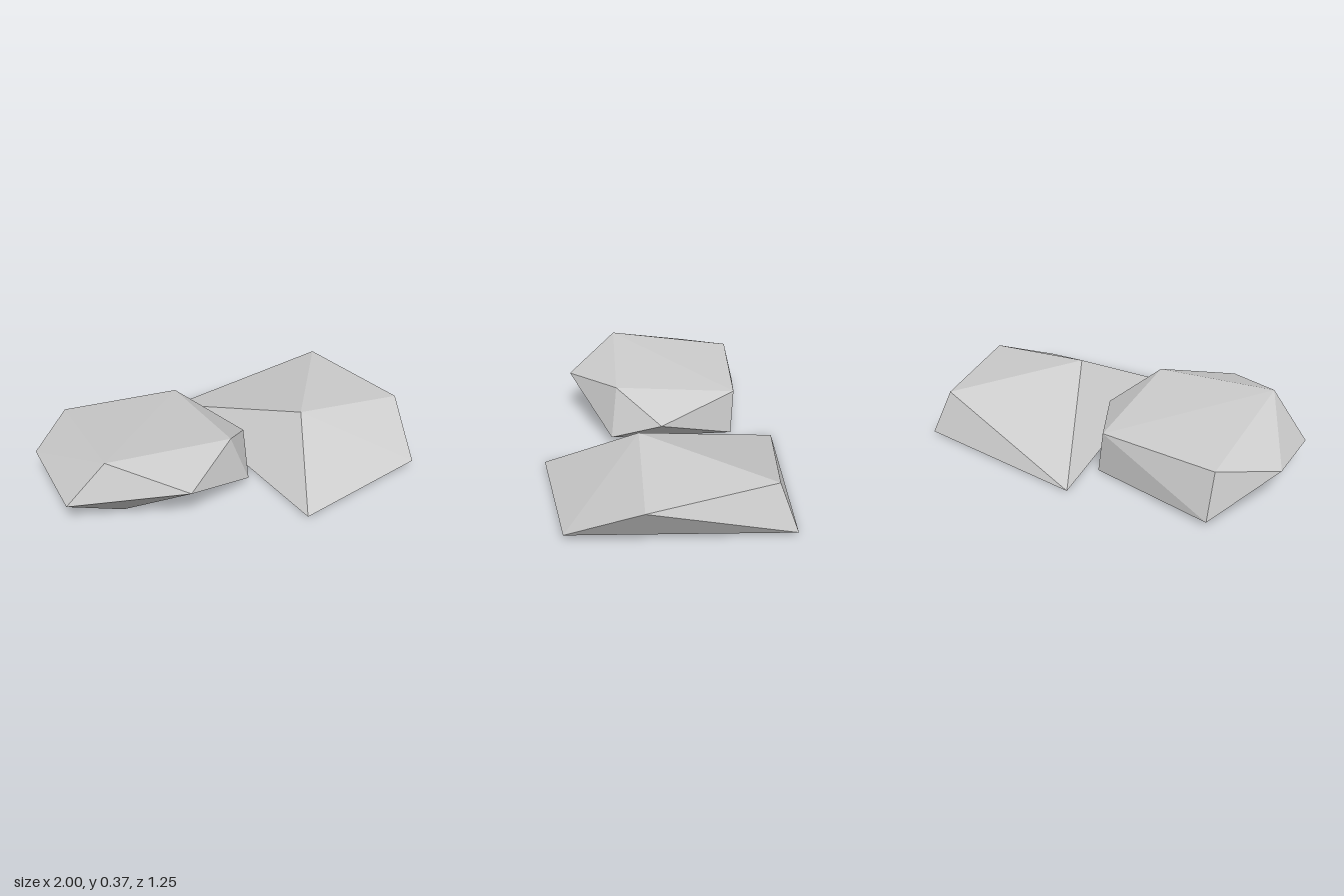
import * as THREE from 'three';
import { ConvexGeometry } from 'three/addons/geometries/ConvexGeometry.js';

// A faceted stone is the convex hull of its corner points
function stone(name, corners, material) {
  const points = corners.map(([x, y, z]) => new THREE.Vector3(x, y, z));
  const mesh = new THREE.Mesh(new ConvexGeometry(points), material);
  mesh.name = name;
  return mesh;
}

export function createModel() {
  const group = new THREE.Group();
  group.name = 'rocks';

  const stoneGrey = new THREE.MeshStandardMaterial({ color: 0xcccccc });
  stoneGrey.name = 'stoneGrey';

  // Taller rounded rock on the -x side
  group.add(stone('tallRock', [
    // base
    [-0.78, 0.02, -0.49], [-0.105, 0.008, -0.40], [0.01, 0.055, 0.27], [-0.66, 0.015, 0.21],
    // girdle
    [-1.0, 0.215, -0.18], [-0.95, 0.15, 0.24], [-0.40, 0.26, 0.512], [0.10, 0.165, 0.0],
    // crown
    [-0.78, 0.268, -0.43], [-0.145, 0.247, -0.413], [-0.08, 0.313, 0.24], [-0.745, 0.37, 0.262],
  ], stoneGrey));

  // Low slab-like rock on the +x side
  group.add(stone('slabRock', [
    // base
    [-0.075, 0.0, -0.627], [0.868, 0.012, -0.60], [0.895, 0.05, 0.48], [0.18, 0.008, 0.625],
    // crown
    [0.80, 0.242, -0.512], [1.0, 0.226, 0.11], [0.382, 0.286, 0.127],
  ], stoneGrey));

  return group;
}
